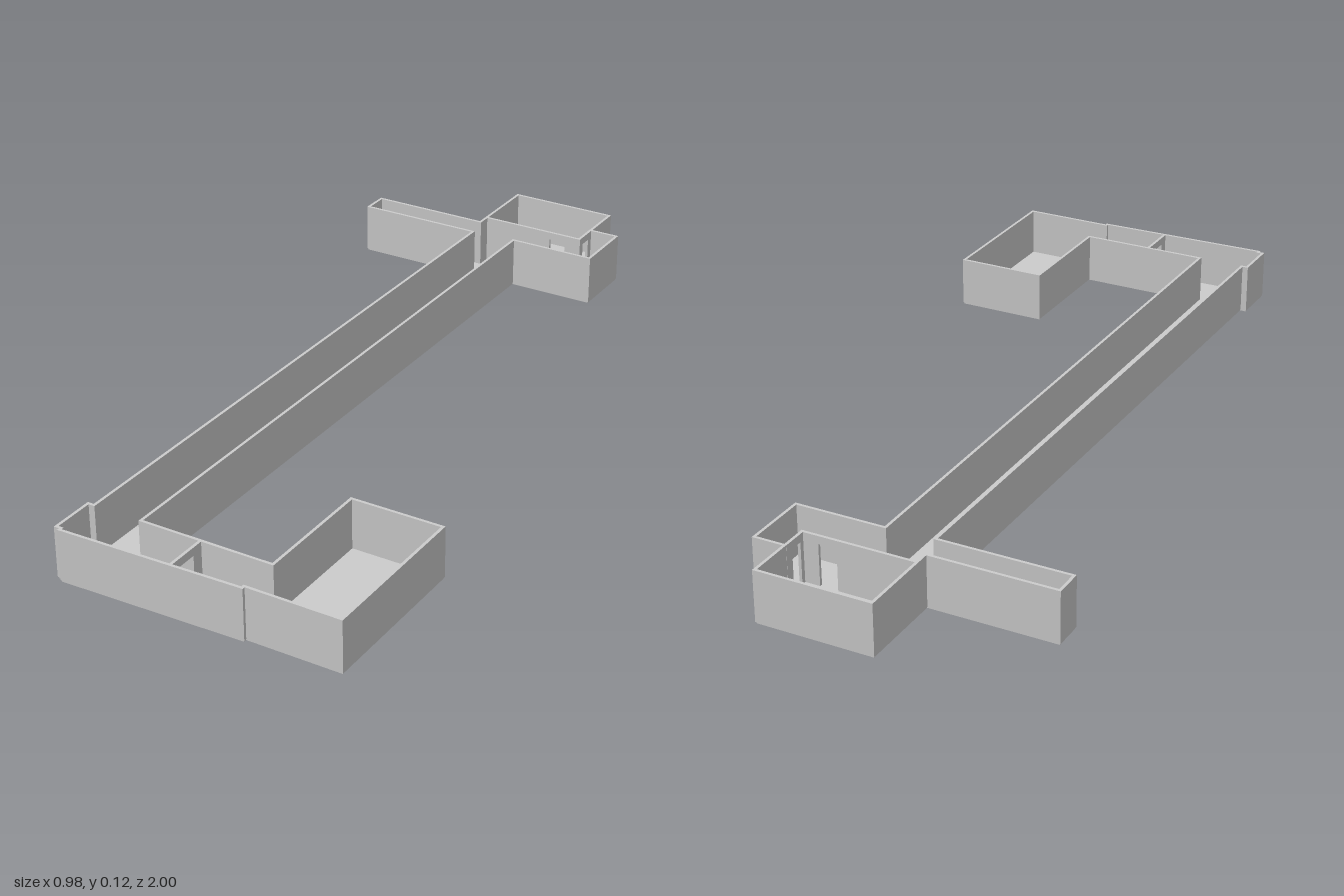
import * as THREE from 'three';

const HEIGHT = 0.125, THICK = 0.007, FLOOR = 0.006;

// Outer boundary of the floor plan as [x, z]
const plan = [
  [-0.49, -0.79], [-0.187, -0.79], [-0.187, -1], [0.092, -1], [0.092, -0.89],
  [0.166, -0.89], [0.166, -0.726], [-0.052, -0.726], [-0.052, 0.88],
  [0.263, 0.88], [0.263, 0.585], [0.489, 0.585], [0.489, 0.981],
  [0.265, 0.981], [0.265, 0.988], [-0.18, 1], [-0.18, 0.993], [-0.193, 0.993],
  [-0.193, 0.88], [-0.178, 0.88], [-0.174, -0.719], [-0.49, -0.719],
];

// Mitred inward offset of the boundary
function inset(pts, d) {
  const n = pts.length;
  const normal = (a, b) => new THREE.Vector2(b.y - a.y, a.x - b.x).normalize();
  return pts.map((p, i) => {
    const n1 = normal(pts[(i + n - 1) % n], p);
    const n2 = normal(p, pts[(i + 1) % n]);
    const k = d / (1 + n1.dot(n2));
    return p.clone().add(n1.add(n2).multiplyScalar(k));
  });
}

function extrudeUp(shape, depth) {
  return new THREE.ExtrudeGeometry(shape, { depth, bevelEnabled: false }).rotateX(-Math.PI / 2);
}

export function createModel() {
  const group = new THREE.Group();
  const plaster = new THREE.MeshStandardMaterial({ color: 0xcccccc });
  plaster.name = 'grey plaster';

  const add = (name, geometry) => {
    const mesh = new THREE.Mesh(geometry, plaster);
    mesh.name = name;
    group.add(mesh);
    return mesh;
  };

  const outline = plan.map(([x, z]) => new THREE.Vector2(x, -z));

  // Floor slab, slightly inside the wall faces
  add('floor', extrudeUp(new THREE.Shape(inset(outline, 0.002)), FLOOR));

  // Continuous outer wall; the hole runs against the outline so its faces look inward
  const wall = new THREE.Shape(outline);
  wall.holes.push(new THREE.Path(inset(outline, THICK).reverse()));
  add('outerWalls', extrudeUp(wall, HEIGHT - 0.004)).position.y = 0.004;

  // Partition from (x0, z0) to (x1, z1) with a doorway between fractions a and b
  function partition(name, x0, z0, x1, z1, a, b) {
    const length = Math.hypot(x1 - x0, z1 - z0);
    const doorTop = 0.1;
    const s = new THREE.Shape([
      [0, 0], [a, 0], [a, doorTop], [b, doorTop], [b, 0], [1, 0], [1, HEIGHT - FLOOR], [0, HEIGHT - FLOOR],
    ].map(([u, y]) => new THREE.Vector2(u * length, y)));
    const g = new THREE.ExtrudeGeometry(s, { depth: THICK, bevelEnabled: false });
    g.translate(0, 0, -THICK / 2);
    const mesh = add(name, g);
    mesh.position.set(x0, FLOOR, z0);
    mesh.rotation.y = -Math.atan2(z1 - z0, x1 - x0);
  }

  partition('backRoomFrontWall', -0.182, -0.821, 0.092, -0.821, 0.68, 0.84);
  partition('backRoomSideWall', 0.088, -0.887, 0.088, -0.818, 0.3, 0.75);
  partition('frontHallPartition', 0.093, 0.883, 0.093, 0.988, 0.3, 0.75);

  return group;
}
